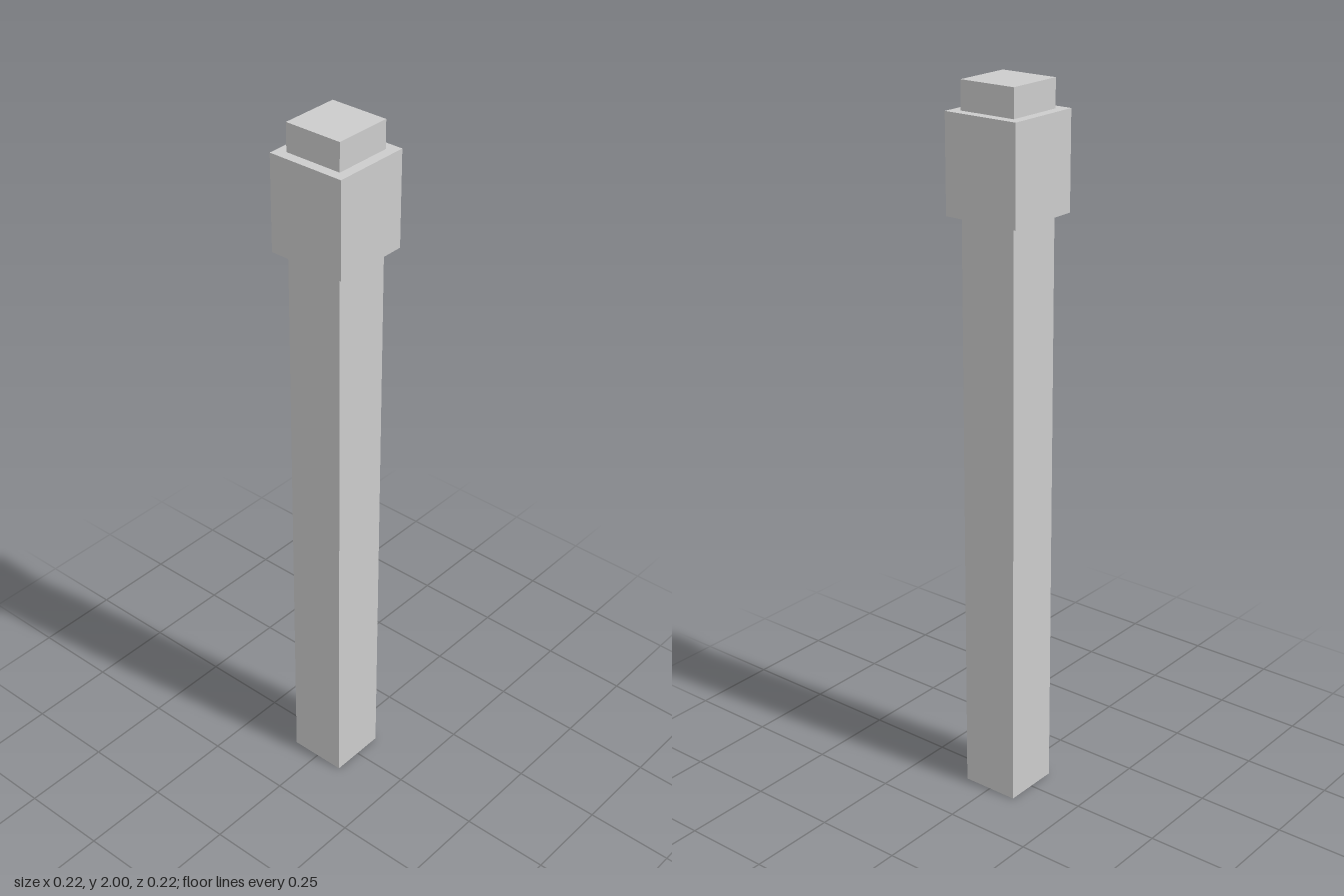
import * as THREE from 'three';

export function createModel() {
  const group = new THREE.Group();
  const material = new THREE.MeshStandardMaterial({ color: 0xcccccc, flatShading: true });

  // Square block centred on the vertical axis, from height y0 to y1
  function block(name, width, y0, y1) {
    const mesh = new THREE.Mesh(new THREE.BoxGeometry(width, y1 - y0, width), material);
    mesh.position.y = (y0 + y1) / 2;
    mesh.name = name;
    group.add(mesh);
  }

  // Full-height post, its tip showing above the collar
  block('post', 0.167, 0, 2);
  // Wider collar near the top
  block('collar', 0.223, 1.657, 1.923);

  return group;
}
